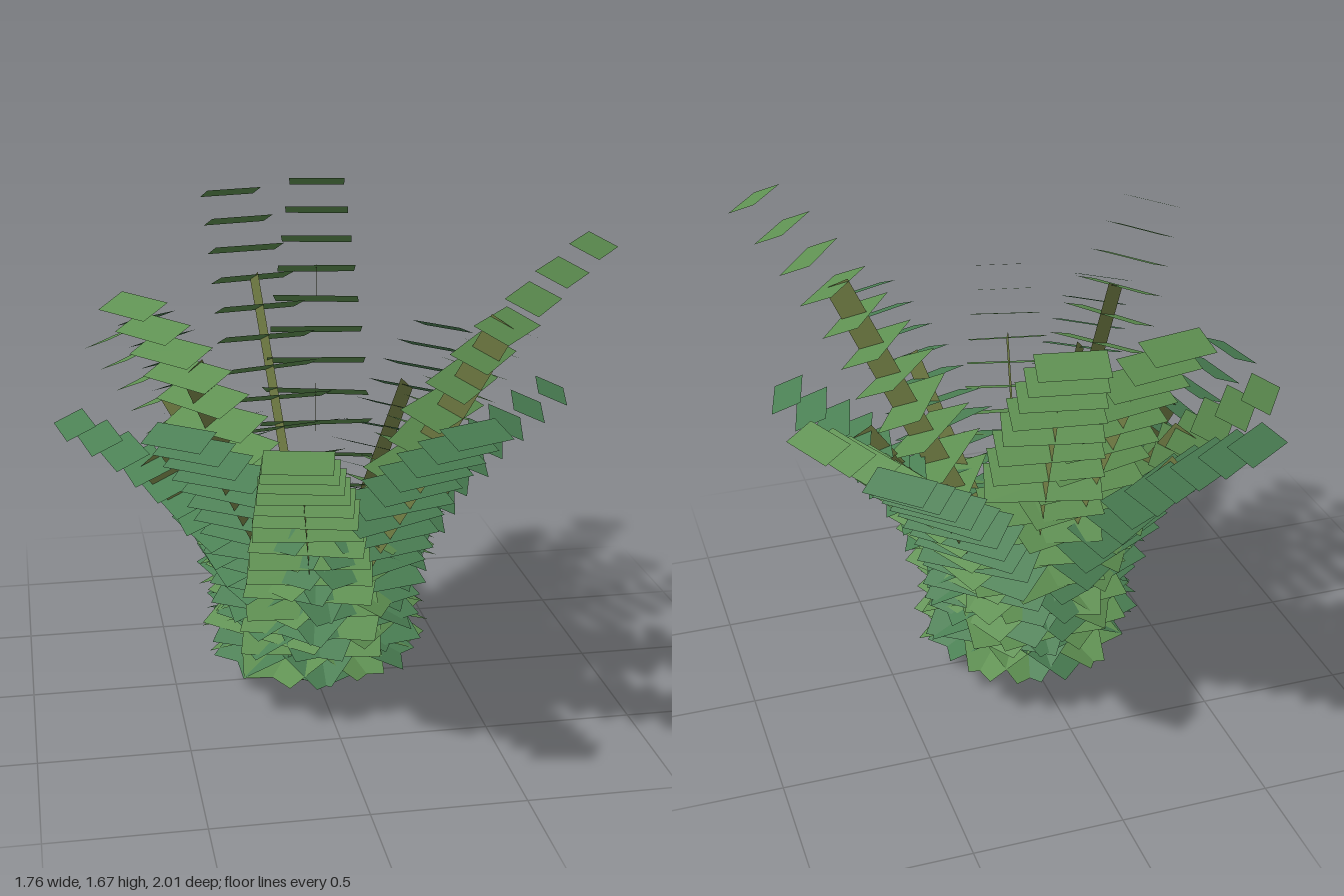
import * as THREE from 'three';
import { mergeGeometries } from 'three/addons/utils/BufferGeometryUtils.js';
import { ConvexGeometry } from 'three/addons/geometries/ConvexGeometry.js';

const LEAFLETS = 15;
const TILT = 0.4; // each leaflet droops outward

const material = (color, side = THREE.DoubleSide) =>
  new THREE.MeshStandardMaterial({ color, side, flatShading: true });

// Tip of every frond: x, z, height, and 1 for the lighter green
const FRONDS = [
  [0.17, -0.94, 1.61, 1], [-0.17, -0.88, 1.59, 1], [-0.51, -0.75, 1.15, 0],
  [-0.66, -0.45, 1.16, 1], [-0.82, 0.14, 1.03, 0], [-0.64, 0.47, 1.5, 1],
  [-0.53, 0.67, 1.14, 0], [-0.21, 0.93, 1.13, 1], [0.35, 0.82, 1.15, 0],
  [0.775, 0.19, 1.08, 0], [0.78, 0.54, 1.65, 1], [0.78, -0.33, 1.16, 1],
  [0.59, -0.59, 1.11, 0],
];

// Flat leaflets stepping up and outward along +z, shrinking toward the tip
// and twisting a little from side to side near the base
function leafletGeometry(reach, height, phase) {
  const parts = [];
  for (let i = 0; i < LEAFLETS; i++) {
    const t = i / (LEAFLETS - 1);
    const leaf = new THREE.PlaneGeometry(0.48 - 0.27 * Math.pow(t, 1.4), 0.22 - 0.115 * t);
    leaf.rotateX(-Math.PI / 2 + TILT);
    leaf.rotateY(0.2 * (1 - t) * Math.sin(i * 2.4 + phase));
    const r = 0.2 + (reach - 0.2) * Math.pow(t, 1.85);
    const y = 0.18 + (height - 0.18) * (1.12 * t - 0.12 * t * t);
    leaf.translate(0, y, r);
    parts.push(leaf);
  }
  return mergeGeometries(parts);
}

// Straight flat blade standing in the radial plane
function stemGeometry(reach, height) {
  const start = new THREE.Vector2(0, 0.16);
  const end = new THREE.Vector2(reach * 0.705, height * 0.79 + 0.07);
  const along = end.clone().sub(start);
  const blade = new THREE.PlaneGeometry(0.1, along.length());
  blade.rotateY(-Math.PI / 2);
  blade.rotateX(Math.atan2(along.x, along.y));
  blade.translate(0, (start.y + end.y) / 2, (start.x + end.x) / 2);
  return blade;
}

// Faceted woody base
function baseGeometry() {
  const points = [
    [-0.135, 0, 0], [0.16, 0.05, -0.02], [0.03, 0.05, 0.195], [-0.02, 0.05, -0.1],
    [0.03, 0.1, 0.195], [0.16, 0.14, -0.02], [-0.135, 0.15, 0],
  ];
  for (let i = 0; i < 6; i++) {
    const a = (i / 6) * Math.PI * 2 + 0.5;
    points.push([0.14 * Math.cos(a), 0.13, 0.15 * Math.sin(a)]);
    points.push([0.13 * Math.cos(a + 0.4), 0.25, 0.11 * Math.sin(a + 0.4)]);
  }
  return new ConvexGeometry(points.map((p) => new THREE.Vector3(...p)));
}

export function createModel() {
  const model = new THREE.Group();
  model.name = 'fernPlant';

  const greens = [material(0x4b8054), material(0x5f9152)];
  const stemMaterial = material(0x737f45);

  const base = new THREE.Mesh(baseGeometry(), material(0x8b745c, THREE.FrontSide));
  base.name = 'woodyBase';
  model.add(base);

  FRONDS.forEach(([x, z, height, light], i) => {
    const reach = Math.hypot(x, z);
    const frond = new THREE.Group();
    frond.name = `frond${i + 1}`;

    const leaflets = new THREE.Mesh(leafletGeometry(reach, height, i), greens[light]);
    leaflets.name = 'leaflets';
    const stem = new THREE.Mesh(stemGeometry(reach, height), stemMaterial);
    stem.name = 'stem';

    frond.add(leaflets, stem);
    frond.rotation.y = Math.atan2(x, z);
    model.add(frond);
  });

  return model;
}
